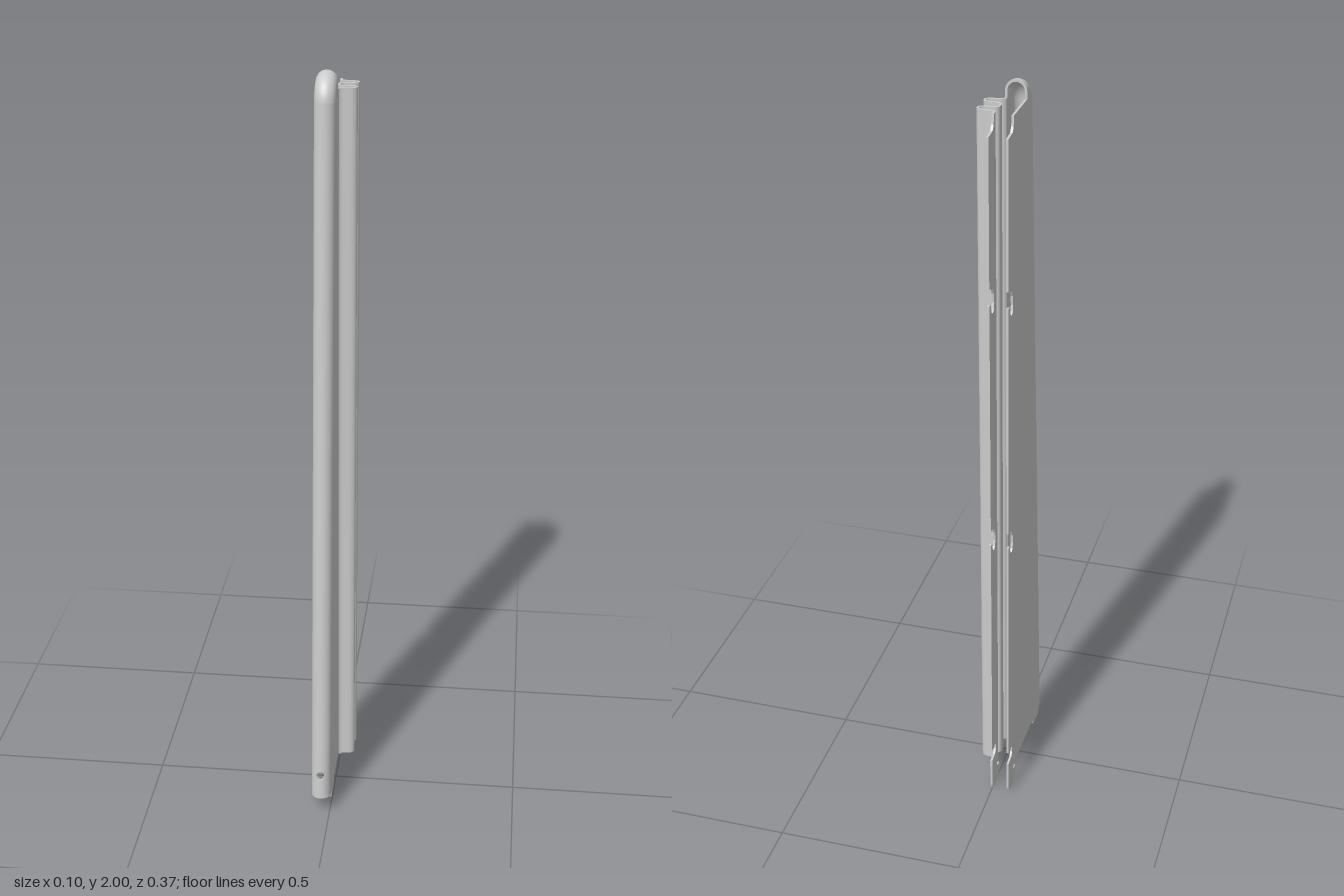
import * as THREE from 'three';
import { mergeGeometries } from 'three/addons/utils/BufferGeometryUtils.js';

const T = 0.006; // sheet thickness

// Grid surface from f(a, b); its front faces along df/da x df/db
function sheet(f, na, nb, flip = false) {
  const pos = [], index = [];
  for (let j = 0; j <= nb; j++)
    for (let i = 0; i <= na; i++) pos.push(...f(i / na, j / nb));
  for (let j = 0; j < nb; j++)
    for (let i = 0; i < na; i++) {
      const p = j * (na + 1) + i, q = p + 1, r = p + na + 1, s = r + 1;
      if (flip) index.push(p, r, q, q, r, s);
      else index.push(p, q, r, q, s, r);
    }
  const g = new THREE.BufferGeometry();
  g.setAttribute('position', new THREE.Float32BufferAttribute(pos, 3));
  g.setIndex(index);
  g.computeVertexNormals();
  return g;
}

// Sheet metal from f(a, b, t): t = 0 outer face, t = 1 inner face, plus cut edges
function thickSheet(f, na, nb) {
  return mergeGeometries([
    sheet((a, b) => f(a, b, 0), na, nb),
    sheet((a, b) => f(a, b, 1), na, nb, true),
    sheet((a, t) => f(a, 0, t), na, 1, true),
    sheet((a, t) => f(a, 1, t), na, 1),
    sheet((b, t) => f(0, b, t), nb, 1),
    sheet((b, t) => f(1, b, t), nb, 1, true),
  ]);
}

// Flat plate from a (z, y) outline, starting at x
function plate(points, x) {
  const shape = new THREE.Shape(points.map(([z, y]) => new THREE.Vector2(-z, y)));
  const g = new THREE.ExtrudeGeometry(shape, { depth: T, bevelEnabled: false });
  return g.rotateY(Math.PI / 2).translate(x, 0, 0);
}

// Rounded front: a half-round section following a sloped line, then an arc at the top
const TILT = THREE.MathUtils.degToRad(4.05);
const ARC = { z: -0.02, y: 1.93, r: 0.07 };
const LINE = 1.8867, DEPTH = 0.026, HALF = 0.0265, MID = -0.0235;

function nose(u, s, t) {
  const along = Math.min(s - LINE, 0);
  const ang = s <= LINE ? TILT : TILT + (s - LINE) / ARC.r;
  const c = Math.cos(ang), n = Math.sin(ang);
  const r = ARC.r - DEPTH + (DEPTH - T * t) * Math.sin(Math.PI * u);
  return [
    MID - (HALF - T * t) * Math.cos(Math.PI * u),
    ARC.y + r * n + along * c,
    ARC.z + r * c - along * n,
  ];
}

// Patch around the screw hole, from circle out to rectangle
function holePatch(a, b, t) {
  const ang = -2 * Math.PI * a, c = Math.cos(ang), s = Math.sin(ang);
  const k = 1 / Math.max(Math.abs(c), Math.abs(s));
  const u = 0.5 + c * THREE.MathUtils.lerp(0.14, 0.5 * k, b);
  const v = 0.07 + s * THREE.MathUtils.lerp(0.012, 0.07 * k, b);
  return nose(u, v, t);
}

// Hook slot in the rear edge, going down
const hookSlot = (y) => [
  [-0.182, 0.043], [-0.163, 0.041], [-0.15, 0.032], [-0.142, 0.016], [-0.14, -0.008],
  [-0.144, -0.024], [-0.152, -0.03], [-0.161, -0.027], [-0.166, -0.016],
  [-0.167, -0.005], [-0.172, 0], [-0.182, 0],
].map(([z, dy]) => [z, y + dy]);

export function createModel() {
  const group = new THREE.Group();
  const material = new THREE.MeshStandardMaterial({ color: 0xcccccc, side: THREE.DoubleSide });
  const add = (name, geometry) => {
    const mesh = new THREE.Mesh(geometry, material);
    mesh.name = name;
    group.add(mesh);
  };

  // Rear edge with slots and the foot tab, top to bottom
  const rear = [
    [-0.135, 1.955], [-0.138, 1.93], [-0.147, 1.918], [-0.182, 1.915],
    ...hookSlot(1.495), ...hookSlot(0.818),
    [-0.182, 0.143], [-0.168, 0.139], [-0.152, 0.145], [-0.145, 0.135],
    [-0.145, 0.12], [-0.154, 0.108], [-0.182, 0.105],
    [-0.182, 0.02], [-0.178, 0.008], [-0.167, 0], [-0.113, 0],
    [-0.113, 0.046], [-0.128, 0.047], [-0.134, 0.053], [-0.132, 0.062],
  ];
  // Lower edge with its small lug, back to front
  const lower = [
    [-0.02, 0.06], [0.07, 0.058], [0.082, 0.05], [0.088, 0.036],
    [0.142, 0.032], [0.147, 0.053],
  ];
  // Sloped front edge and rounded top, where the plates meet the nose
  const front = [[0.157, 0.053]];
  for (let i = 0; i <= 8; i++) {
    const ang = THREE.MathUtils.lerp(TILT, Math.PI / 2, i / 8), r = ARC.r - DEPTH;
    front.push([ARC.z + r * Math.cos(ang), ARC.y + r * Math.sin(ang)]);
  }

  add('rightPlate', plate([...rear, ...lower, ...front, [-0.02, 1.955]], -0.05));
  add('leftFrontPlate', plate([...lower, ...front], -0.003));
  add('leftRearStrip', plate([[-0.122, 1.955], ...rear, [-0.122, 0.062]], -0.003));

  // Corrugated part of the left side
  const wave = new THREE.CatmullRomCurve3([
    [0, -0.018], [0.002, -0.025], [0.01, -0.03], [0.036, -0.034], [0.044, -0.04],
    [0.044, -0.049], [0.037, -0.055], [0.01, -0.058], [0.002, -0.063], [0, -0.074],
    [0.002, -0.085], [0.01, -0.089], [0.037, -0.09], [0.044, -0.096], [0.044, -0.105],
    [0.036, -0.111], [0.01, -0.115], [0.002, -0.118], [0, -0.125],
  ].map(([x, z]) => new THREE.Vector3(x, 0, z)));
  add('corrugatedWall', thickSheet((a, b, t) => {
    const p = wave.getPoint(a), d = wave.getTangent(a), o = T * (0.5 - t);
    return [p.x - d.z * o, 0.062 + 1.893 * b, p.z + d.x * o];
  }, 90, 1));

  // Rounded front wall with the screw hole near its foot
  const arcLength = ARC.r * (Math.PI / 2 - TILT);
  add('frontWallFoot', thickSheet(holePatch, 48, 5));
  add('frontWall', thickSheet((a, b, t) => nose(a, 0.14 + (LINE - 0.14) * b, t), 16, 1));
  add('frontWallTop', thickSheet((a, b, t) => nose(a, LINE + arcLength * b, t), 16, 12));

  return group;
}
